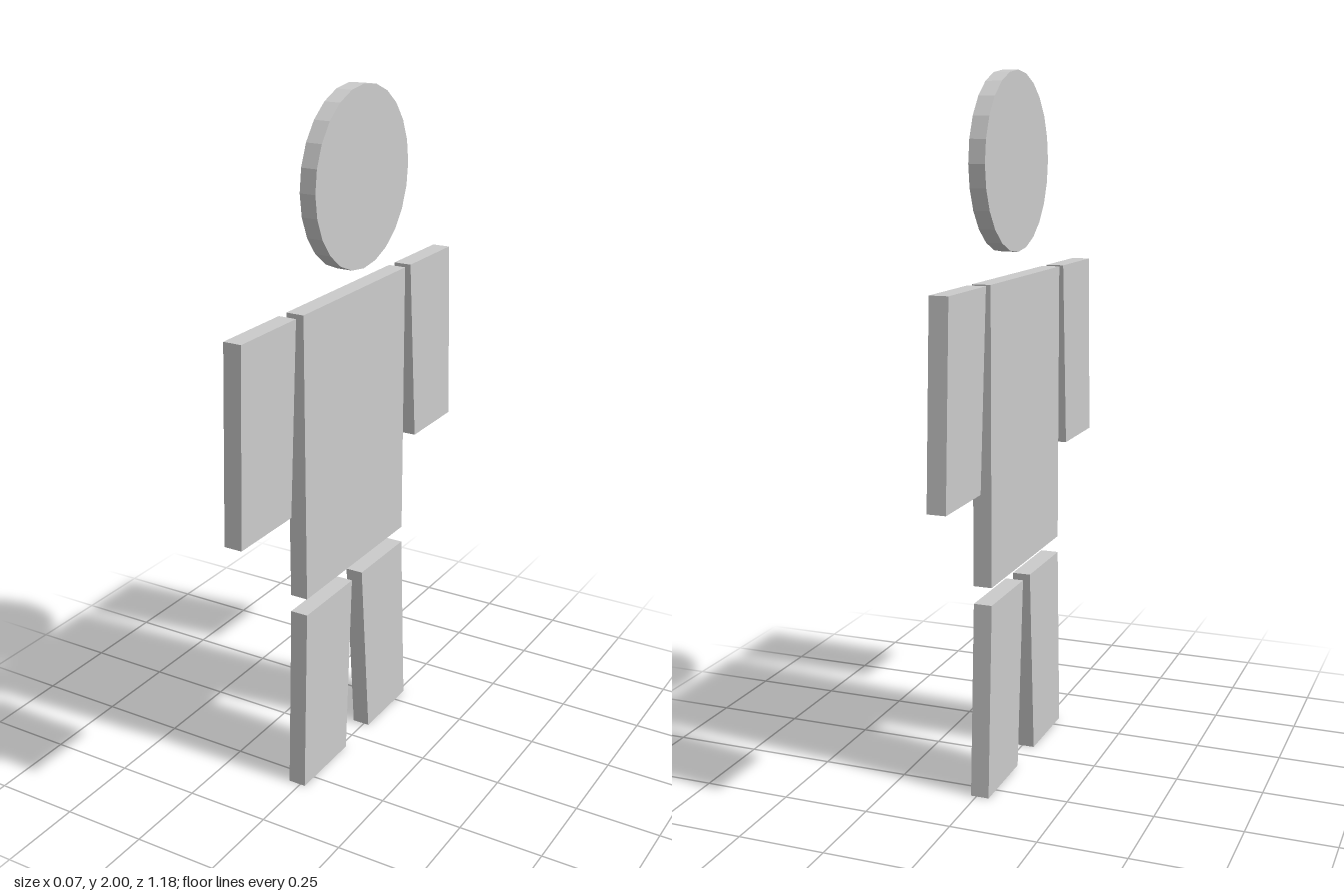
import * as THREE from 'three';

const material = new THREE.MeshStandardMaterial({ color: 0xcccccc, flatShading: true });
const BACK = -0.037, THICK = 0.053;

// Flat slab with a trapezoid outline in the z-y plane, extruded along x
function slab(name, y0, y1, bottom, top) {
  const shape = new THREE.Shape([
    new THREE.Vector2(-bottom[0], y0),
    new THREE.Vector2(-bottom[1], y0),
    new THREE.Vector2(-top[1], y1),
    new THREE.Vector2(-top[0], y1),
  ]);
  const geometry = new THREE.ExtrudeGeometry(shape, { depth: THICK, bevelEnabled: false });
  geometry.rotateY(Math.PI / 2).translate(BACK, 0, 0);
  const mesh = new THREE.Mesh(geometry, material);
  mesh.name = name;
  return mesh;
}

export function createModel() {
  const group = new THREE.Group();
  group.name = 'flatFigure';

  // Head: a thin disc set slightly to one side of the body slabs
  const disc = new THREE.CylinderGeometry(0.248, 0.248, 0.047, 24);
  disc.rotateZ(Math.PI / 2);
  const head = new THREE.Mesh(disc, material);
  head.name = 'head';
  head.position.set(0.0125, 1.752, -0.003);
  group.add(head);

  // Body and limbs: z ranges at the bottom and top edges
  group.add(
    slab('torso', 0.608, 1.44, [0.277, -0.279], [0.277, -0.279]),
    slab('armFront', 0.89, 1.44, [0.589, 0.351], [0.564, 0.313]),
    slab('armBack', 0.89, 1.44, [-0.356, -0.589], [-0.312, -0.56]),
    slab('legFront', 0, 0.557, [0.303, 0.064], [0.278, 0.027]),
    slab('legBack', 0, 0.557, [-0.075, -0.308], [-0.031, -0.279]),
  );
  return group;
}
